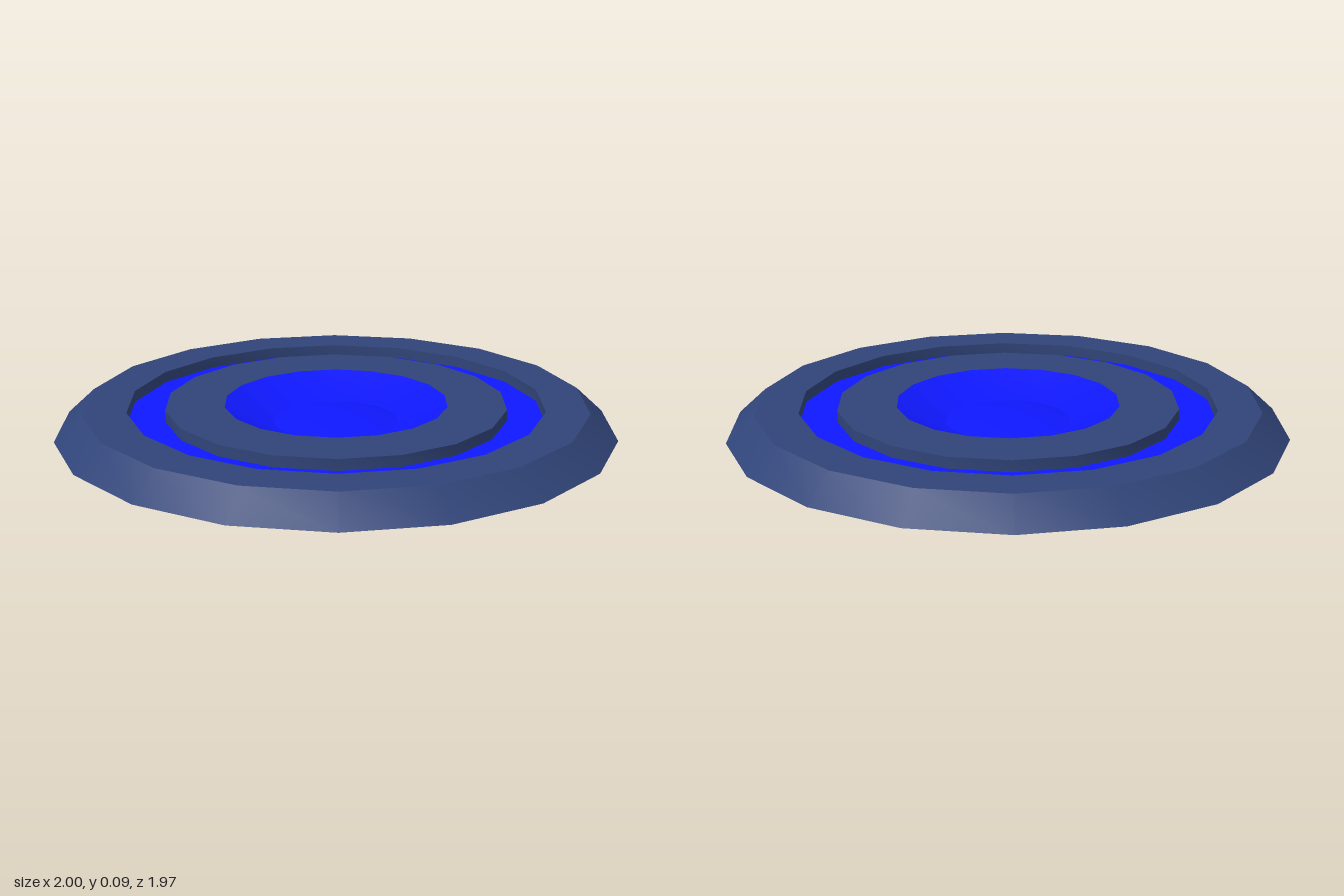
import * as THREE from 'three';
import { toCreasedNormals } from 'three/addons/utils/BufferGeometryUtils.js';

const navy = new THREE.MeshStandardMaterial({ color: 0x304478 });
const blue = new THREE.MeshStandardMaterial({ color: 0x0f18ff });

const TOP = 0.093, FLOOR = 0.052, PIT = 0.02;

// Revolve a [radius, height] profile, listed from the underside outward, up and in
function ring(name, profile, material, sides = 18) {
  const points = profile.map(([r, y]) => new THREE.Vector2(r, y));
  const lathe = new THREE.LatheGeometry(points, sides, Math.PI / 2);
  const mesh = new THREE.Mesh(toCreasedNormals(lathe, 0.5), material);
  mesh.name = name;
  return mesh;
}

export function createModel() {
  const model = new THREE.Group();
  model.name = 'disc';

  // Bevelled base with the outer wall of the groove
  model.add(ring('base', [[0, 0], [1, 0], [0.9, TOP], [0.745, TOP], [0.745, FLOOR]], navy));

  // Coloured groove floor
  model.add(ring('grooveFloor', [[0.745, FLOOR], [0.61, FLOOR]], blue));

  // Raised ring between groove and bowl
  model.add(ring('raisedRing', [[0.61, FLOOR], [0.61, TOP], [0.4, TOP]], navy));

  // Sloping bowl in the middle
  model.add(ring('bowl', [[0.4, TOP], [0.22, PIT], [0, PIT]], blue));

  // Shallow round lens at the bottom of the bowl
  const lensRadius = 0.225, lensRise = 0.025;
  const lens = [];
  for (let i = 0; i <= 8; i++) {
    const t = i / 8;
    lens.push([lensRadius * (1 - t), PIT + 0.001 + lensRise * (1 - (1 - t) ** 2)]);
  }
  model.add(ring('lens', lens, blue, 36));

  return model;
}
